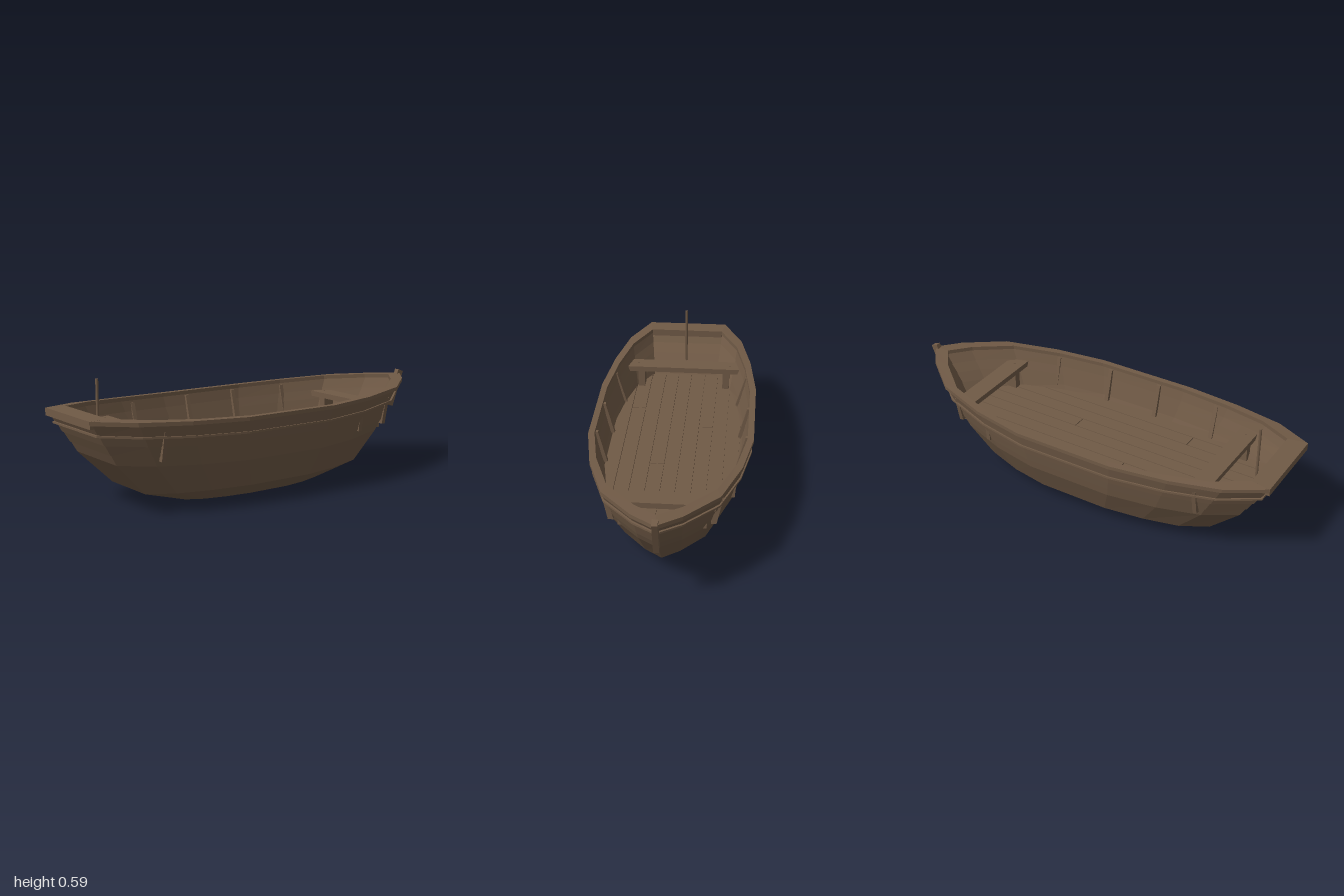
import * as THREE from 'three';

const wood = new THREE.MeshStandardMaterial({ color: 0x705a46 });
wood.name = 'brown wood';

// Half outline of the gunwale [x, z], stern (+z) to bow (-z)
const outline = [[0.205, 1], [0.3, 0.82], [0.355, 0.58], [0.389, 0.3], [0.389, -0.2],
  [0.345, -0.46], [0.26, -0.72], [0.11, -0.9], [0, -0.985]];

// A level is [y amidships, rise at the ends, width scale, stern z, bow z]
function halfRing([y, lift, sx, zs, zb]) {
  return outline.map(([x, z]) => {
    const t = (z + 0.985) / 1.985;
    return new THREE.Vector3(x * sx, y + lift * z * z, zb + (zs - zb) * t);
  });
}

function ring(level) {
  const half = halfRing(level);
  const mirrored = half.slice(0, -1).reverse().map(p => new THREE.Vector3(-p.x, p.y, p.z));
  return half.concat(mirrored);
}

// Flat-faced skin through successive closed rings
function loft(levels) {
  const rings = levels.map(ring), pos = [];
  for (let k = 0; k < rings.length - 1; k++) {
    const a = rings[k], b = rings[k + 1], n = a.length;
    for (let i = 0; i < n; i++) {
      const j = (i + 1) % n;
      for (const p of [a[i], a[j], b[j], a[i], b[j], b[i]]) pos.push(p.x, p.y, p.z);
    }
  }
  const g = new THREE.BufferGeometry();
  g.setAttribute('position', new THREE.Float32BufferAttribute(pos, 3));
  g.computeVertexNormals();
  return g;
}

// Extruded polygon in the xy plane
function slab(points, depth) {
  const shape = new THREE.Shape(points.map(([x, y]) => new THREE.Vector2(x, y)));
  return new THREE.ExtrudeGeometry(shape, { depth, bevelEnabled: false });
}

// Horizontal board from [x, z] points, lying on height y
function board(points, y, thickness) {
  return slab(points.map(([x, z]) => [x, -z]), thickness).rotateX(-Math.PI / 2).translate(0, y, 0);
}

const FLOOR = [0.225, 0, 0.825, 0.8, -0.8];
const INNER_TOP = [0.4, 0.03, 0.935, 0.925, -0.915];

// Half width of a level at a given z
function widthAt(level, z) {
  const h = halfRing(level);
  for (let i = 0; i < h.length - 1; i++) {
    if (z <= h[i].z && z >= h[i + 1].z) {
      return THREE.MathUtils.lerp(h[i].x, h[i + 1].x, (h[i].z - z) / (h[i].z - h[i + 1].z));
    }
  }
  return 0;
}

// Stern or bow limit of the floor at a given x
function floorEnd(x, stern) {
  const h = halfRing(FLOOR), part = stern ? h.slice(0, 4) : h.slice(4).reverse();
  const ax = Math.abs(x);
  if (ax <= part[0].x) return part[0].z;
  for (let i = 0; i < part.length - 1; i++) {
    const a = part[i], b = part[i + 1];
    if (ax <= b.x) return THREE.MathUtils.lerp(a.z, b.z, (ax - a.x) / (b.x - a.x));
  }
  return part[part.length - 1].z;
}

export function createModel() {
  const boat = new THREE.Group();
  boat.name = 'rowingBoat';
  const add = (name, geometry) => {
    const m = new THREE.Mesh(geometry, wood);
    m.name = name;
    boat.add(m);
  };

  // Hull: keel plate, bilge, lapped strakes, then down the inside to the floor
  add('hull', loft([
    [0, 0, 0, 0, 0],
    [0, 0, 0.45, 0.45, -0.43],
    [0.07, 0.006, 0.71, 0.7, -0.69],
    [0.205, 0.03, 0.865, 0.86, -0.835],
    [0.25, 0.034, 0.892, 0.888, -0.867],
    [0.25, 0.034, 0.899, 0.892, -0.871],
    [0.3, 0.034, 0.927, 0.922, -0.897],
    [0.3, 0.034, 0.934, 0.927, -0.901],
    [0.345, 0.036, 0.957, 0.952, -0.925],
    [0.345, 0.036, 0.964, 0.957, -0.93],
    [0.402, 0.03, 0.993, 0.988, -0.965],
    INNER_TOP,
    [0.345, 0.034, 0.905, 0.895, -0.882],
    [0.345, 0.034, 0.911, 0.901, -0.887],
    [0.3, 0.034, 0.879, 0.863, -0.853],
    [0.3, 0.034, 0.885, 0.868, -0.857],
    [0.25, 0.034, 0.85, 0.83, -0.825],
    [0.25, 0.034, 0.855, 0.834, -0.829],
    FLOOR,
    [0.225, 0, 0, 0, 0],
  ]));

  // Cap rail around the top edge, with a deeper board across the transom
  const railOuterTop = [0.415, 0.035, 1, 0.998, -0.985];
  add('gunwale', loft([railOuterTop, [0.415, 0.035, 0.925, 0.905, -0.905],
    [0.397, 0.033, 0.925, 0.905, -0.905], [0.398, 0.033, 1, 0.998, -0.985], railOuterTop]));
  add('transomCap', board([[-0.205, 1], [0.205, 1], [0.205, 0.985], [0.188, 0.905],
    [-0.188, 0.905], [-0.205, 0.985]], 0.415, 0.0352));

  // Thin rubbing strip below it
  const stripInner = [0.338, 0.038, 0.95, 0.945, -0.92];
  add('rubbingStrip', loft([stripInner, [0.338, 0.038, 0.982, 0.968, -0.945],
    [0.347, 0.038, 0.982, 0.968, -0.945], [0.347, 0.038, 0.95, 0.945, -0.92], stripInner]));

  // Floor planks, some made of two lengths
  const edges = [-0.319, -0.25, -0.18, -0.11, -0.036, 0.034, 0.104, 0.178, 0.25, 0.319];
  const joints = { 2: 0.22, 5: -0.15, 7: 0.4 };
  for (let i = 0; i < edges.length - 1; i++) {
    const xs = [];
    for (let k = 0; k <= 4; k++) {
      xs.push(THREE.MathUtils.lerp(edges[i] + 0.002, edges[i + 1] - 0.002, k / 4));
    }
    const j = joints[i];
    const spans = j === undefined ? [[-1, 1]] : [[-1, j - 0.002], [j + 0.002, 1]];
    for (const [lo, hi] of spans) {
      const clamp = z => Math.min(hi, Math.max(lo, z));
      const stern = xs.map(x => [x, clamp(floorEnd(x, true))]);
      const bow = xs.map(x => [x, clamp(floorEnd(x, false))]).reverse();
      add('floorPlank', board(stern.concat(bow), 0.223, 0.012));
    }
  }

  // Thwarts with posts and peg heads
  const thwarts = [
    { name: 'sternThwart', z0: 0.72, w0: 0.282, z1: 0.63, w1: 0.295, post: 0.225 },
    { name: 'bowThwart', z0: -0.585, w0: 0.262, z1: -0.68, w1: 0.238, post: 0.18 },
  ];
  for (const t of thwarts) {
    const zc = (t.z0 + t.z1) / 2;
    add(t.name, board([[-t.w0, t.z0], [t.w0, t.z0], [t.w1, t.z1], [-t.w1, t.z1]], 0.33, 0.027));
    for (const s of [-1, 1]) {
      add('thwartPost', new THREE.BoxGeometry(0.035, 0.11, 0.06).translate(s * t.post, 0.28, zc));
      add('thwartPeg', new THREE.CylinderGeometry(0.005, 0.005, 0.004, 6)
        .translate(s * (t.post + 0.02), 0.358, zc));
    }
  }

  // Ribs up the inner sides; the end ones poke slightly through the planking
  const ribs = [[0.47, 0.008], [0.14, 0.014], [-0.14, 0.014]].map(([z, inset]) => {
    const top = widthAt(INNER_TOP, z), foot = widthAt(FLOOR, z);
    return [z, [[foot - inset, 0.23], [foot + 0.006, 0.23], [top, 0.395], [top - inset, 0.395]]];
  });
  ribs.push([0.69, [[0.268, 0.25], [0.291, 0.25], [0.318, 0.385], [0.31, 0.385]]]);
  ribs.push([-0.43, [[0.28, 0.25], [0.312, 0.25], [0.325, 0.395], [0.314, 0.395]]]);
  ribs.push([-0.65, [[0.215, 0.25], [0.24, 0.25], [0.268, 0.385], [0.245, 0.385]]]);
  for (const [z, pts] of ribs) {
    for (const s of [-1, 1]) {
      const p = s > 0 ? pts : pts.map(([x, y]) => [-x, y]).reverse();
      add('rib', slab(p, 0.02).translate(0, 0, z - 0.01));
    }
  }

  // Stem board at the bow, profile given as [-z, y]
  const stem = slab([[0.93, 0.275], [1, 0.457], [0.967, 0.47], [0.895, 0.29]], 0.026);
  add('stem', stem.translate(0, 0, -0.013).rotateY(Math.PI / 2));

  // Slim upright pole inside the stern
  add('sternPole', new THREE.CylinderGeometry(0.007, 0.007, 0.335, 8).translate(0, 0.4255, 0.848));

  return boat;
}
